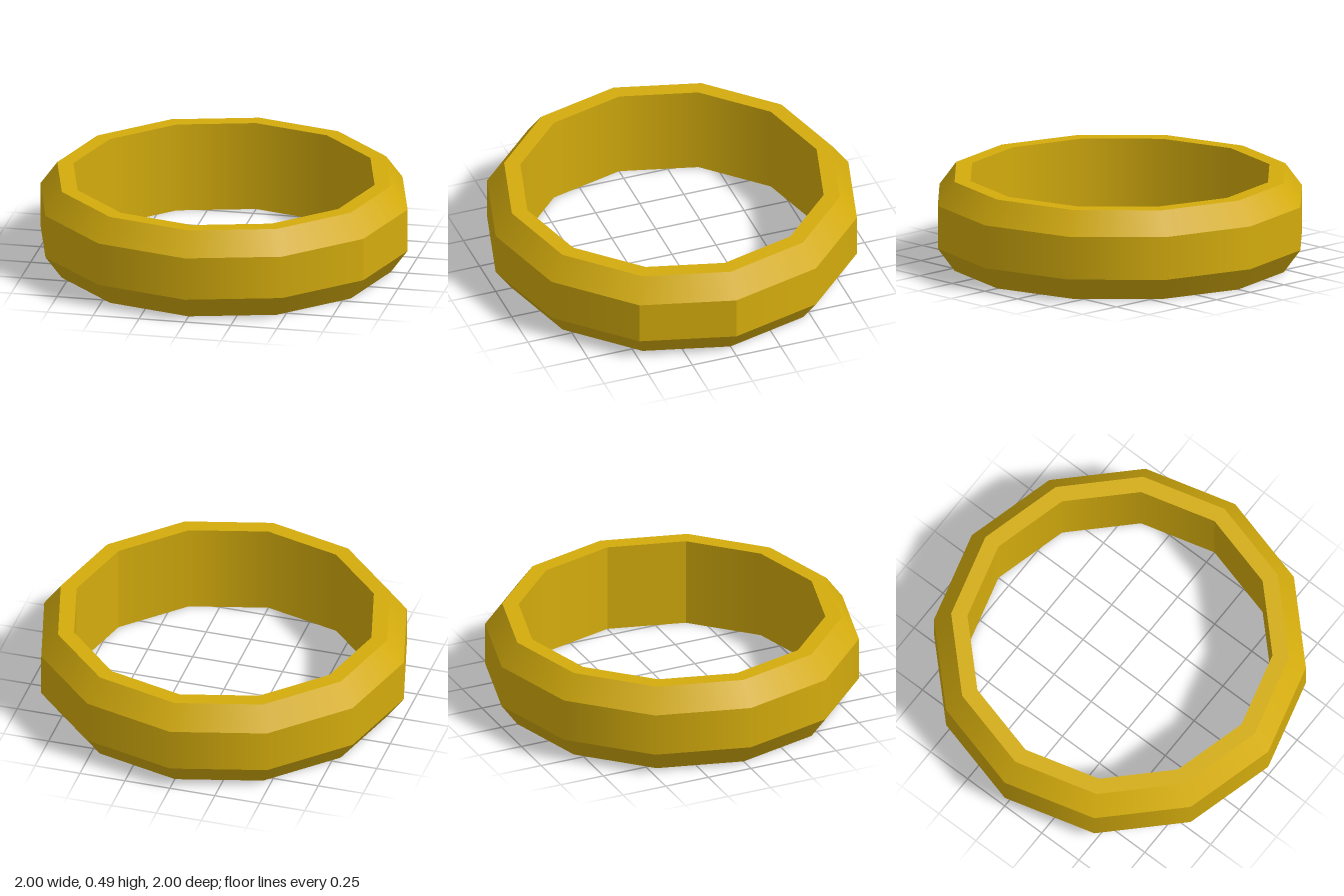
import * as THREE from 'three';

const STEP = Math.PI / 6; // twelve sides
const INNER = 0.82, RIM = 0.908, OUTER = 1;
const HEIGHT = 0.486, LOW = 0.126, HIGH = 0.36;

export function createModel() {
  const ring = new THREE.Group();
  ring.name = 'ring';
  const gold = new THREE.MeshStandardMaterial({ color: 0xd4ac0d });
  gold.name = 'gold';

  // One band of the ring between two profile points, smooth around the ring
  function band(name, from, to, start = 0, sides = 12) {
    const points = [new THREE.Vector2(...from), new THREE.Vector2(...to)];
    const geometry = new THREE.LatheGeometry(points, sides, start * STEP, sides * STEP);
    const mesh = new THREE.Mesh(geometry, gold);
    mesh.name = name;
    ring.add(mesh);
    return geometry;
  }

  // Upright wall section whose two end edges are creased
  function wall(name, from, to, start, sides) {
    const geometry = band(name, from, to, start, sides);
    const sign = to[1] > from[1] ? 1 : -1;
    const normal = geometry.attributes.normal;
    for (const [column, side] of [[0, start + 0.5], [sides, start + sides - 0.5]]) {
      const angle = side * STEP;
      for (let k = 0; k < 2; k++) {
        normal.setXYZ(column * 2 + k, sign * Math.sin(angle), 0, sign * Math.cos(angle));
      }
    }
  }

  // Chamfers and flat rims
  band('lowerChamfer', [RIM, 0], [OUTER, LOW]);
  band('upperChamfer', [OUTER, HIGH], [RIM, HEIGHT]);
  band('topRim', [RIM, HEIGHT], [INNER, HEIGHT]);
  band('bottomRim', [INNER, 0], [RIM, 0]);

  // Walls: one flat panel, then the remaining eleven sides blended together
  for (const [part, start, sides] of [['Panel', 2, 1], ['Wall', 3, 11]]) {
    wall('outer' + part, [OUTER, LOW], [OUTER, HIGH], start, sides);
    wall('inner' + part, [INNER, HEIGHT], [INNER, 0], start, sides);
  }
  return ring;
}
